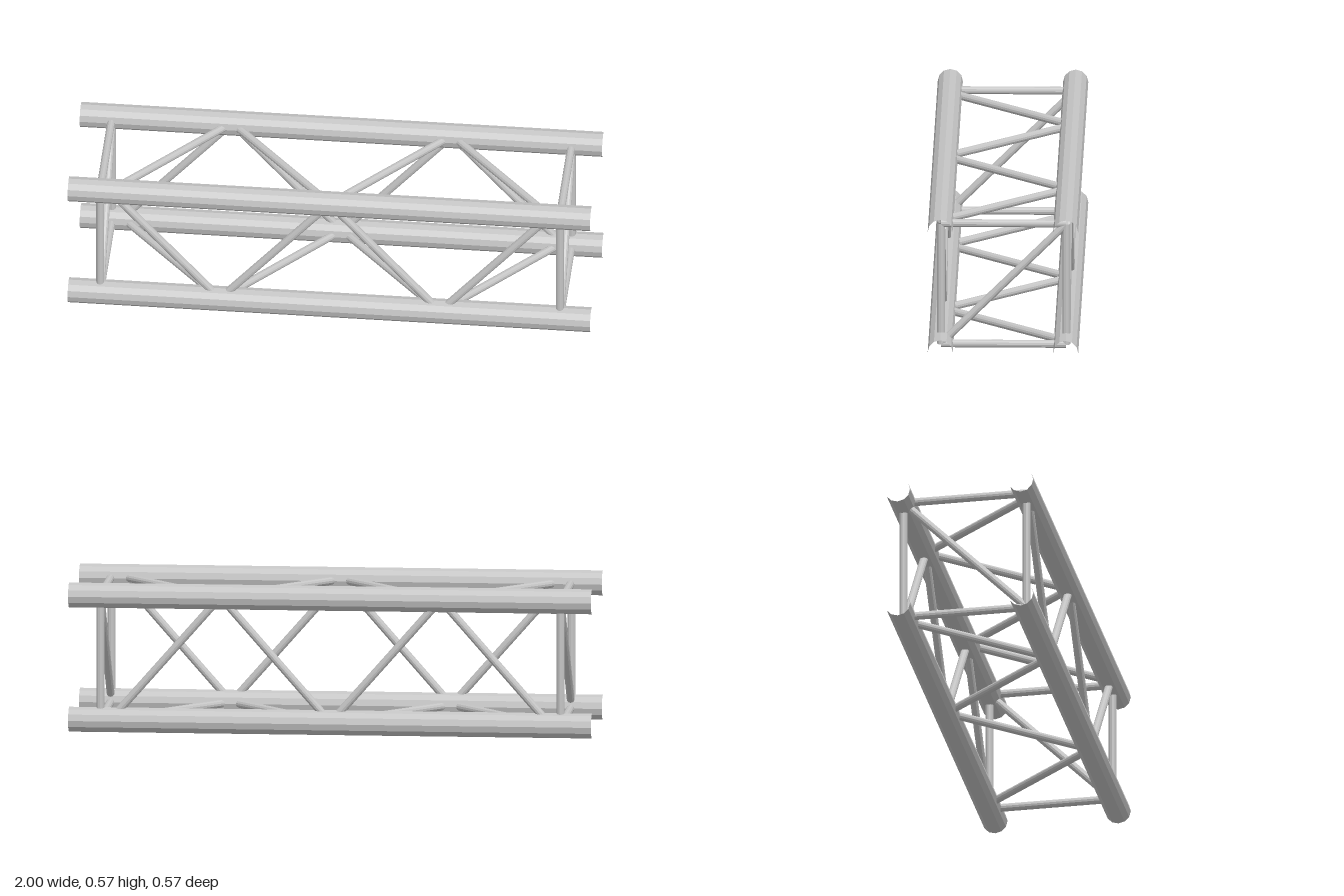
import * as THREE from 'three';

const SIDES = 12;
const LOW = 0.048, HIGH = 0.527, DEPTH = 0.239; // chord centre lines
const CHORD_R = 0.048, BRACE_R = 0.0152;
const FRAME_X = 0.88, PITCH = 0.421;

export function createModel() {
  const model = new THREE.Group();
  model.name = 'boxTruss';
  const metal = new THREE.MeshStandardMaterial({ color: 0xc4c4c4, flatShading: true });
  metal.name = 'lightGreyMetal';

  // Open tube between two points
  function tube(name, a, b, radius, parent) {
    const from = new THREE.Vector3(...a), to = new THREE.Vector3(...b);
    const dir = to.clone().sub(from);
    const mesh = new THREE.Mesh(
      new THREE.CylinderGeometry(radius, radius, dir.length(), SIDES, 1, true), metal);
    mesh.name = name;
    mesh.position.copy(from).add(to).multiplyScalar(0.5);
    mesh.quaternion.setFromUnitVectors(new THREE.Vector3(0, 1, 0), dir.normalize());
    parent.add(mesh);
  }

  function group(name) {
    const g = new THREE.Group();
    g.name = name;
    model.add(g);
    return g;
  }

  // Four long chords
  const chords = group('chords');
  for (const y of [LOW, HIGH])
    for (const z of [-DEPTH, DEPTH])
      tube('chord', [-1, y, z], [1, y, z], CHORD_R, chords);

  // Square end frames with one diagonal each
  for (const x of [-FRAME_X, FRAME_X]) {
    const frame = group(x < 0 ? 'rightEndFrame' : 'leftEndFrame');
    for (const z of [-DEPTH, DEPTH]) tube('endPost', [x, LOW, z], [x, HIGH, z], BRACE_R, frame);
    for (const y of [LOW, HIGH]) tube('endCrossbar', [x, y, -DEPTH], [x, y, DEPTH], BRACE_R, frame);
    tube('endDiagonal', [x, LOW, DEPTH], [x, HIGH, -DEPTH], BRACE_R, frame);
  }

  // Zigzag bracing on the four long faces; each runs between chord a and chord b
  function zigzag(name, a, b) {
    const g = group(name);
    for (let i = -2; i < 2; i++) {
      const [p, q] = i % 2 === 0 ? [a, b] : [b, a];
      tube('brace', [i * PITCH, ...p], [(i + 1) * PITCH, ...q], BRACE_R, g);
    }
  }
  zigzag('frontBracing', [HIGH, DEPTH], [LOW, DEPTH]);
  zigzag('backBracing', [LOW, -DEPTH], [HIGH, -DEPTH]);
  zigzag('topBracing', [HIGH, DEPTH], [HIGH, -DEPTH]);
  zigzag('bottomBracing', [LOW, -DEPTH], [LOW, DEPTH]);

  return model;
}
